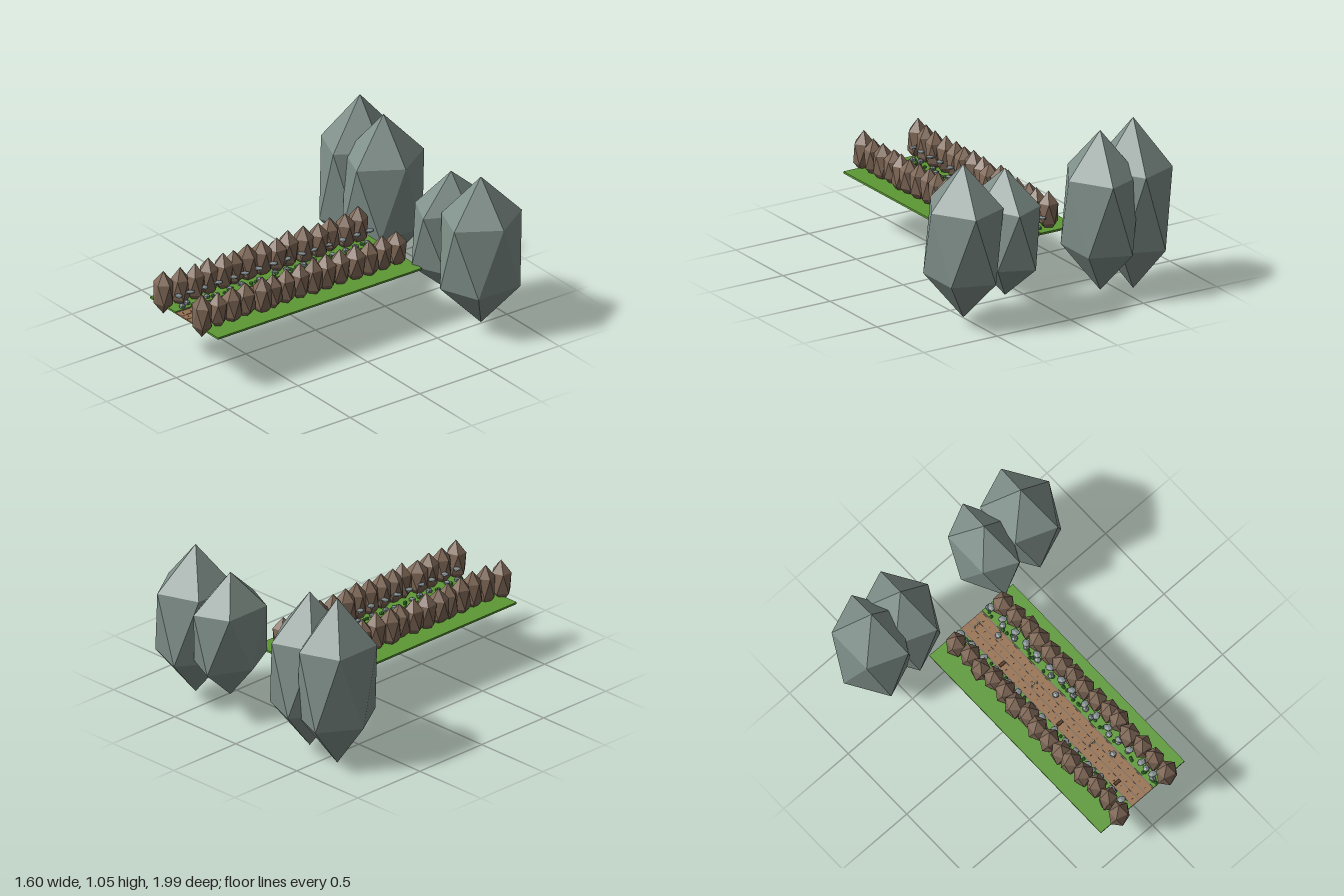
import * as THREE from 'three';

const paint = (name, color) => {
  const m = new THREE.MeshStandardMaterial({ color });
  m.name = name;
  return m;
};

export function createModel() {
  const model = new THREE.Group();
  model.name = 'canyonPath';

  const cliffGrey = paint('cliffGrey', 0x80908a);
  const rockBrown = paint('rockBrown', 0x7f6857);
  const grassGreen = paint('grassGreen', 0x5c9934);
  const dirt = paint('dirt', 0x97714f);
  const stone = paint('stone', 0x7f8a8c);
  const leaf = paint('leaf', 0x3f8a35);
  const darkWood = paint('darkWood', 0x5a3d26);
  const groove = paint('groove', 0x6b6a6c);
  const cream = paint('cream', 0xd8cba8);

  // seeded variation
  let seed = 7;
  const rand = (a, b) => {
    seed = (seed * 16807) % 2147483647;
    return a + (b - a) * (seed / 2147483647);
  };

  // faceted boulder with a vertex straight up and one upper corner on +x
  const boulderGeo = new THREE.IcosahedronGeometry(1, 0);
  boulderGeo.rotateZ(-Math.atan(2 / (1 + Math.sqrt(5))));
  const boxGeo = new THREE.BoxGeometry(1, 1, 1);
  const logGeo = new THREE.CylinderGeometry(1, 1, 1, 8).rotateZ(Math.PI / 2);

  const add = (name, geo, mat, pos, size, yaw = 0, parent = model) => {
    const mesh = new THREE.Mesh(geo, mat);
    mesh.name = name;
    mesh.position.set(...pos);
    mesh.scale.set(...size);
    mesh.rotation.y = yaw;
    parent.add(mesh);
    return mesh;
  };
  const group = (name) => {
    const g = new THREE.Group();
    g.name = name;
    model.add(g);
    return g;
  };

  // ground: two lawns with a dirt path between them
  add('lawnRight', boxGeo, grassGreen, [-0.22, 0.361, 0.2], [0.24, 0.012, 1.465]);
  add('lawnLeft', boxGeo, grassGreen, [0.19, 0.361, 0.2], [0.24, 0.012, 1.465]);
  add('path', boxGeo, dirt, [-0.015, 0.359, 0.2], [0.17, 0.008, 1.465]);

  // four towering cliffs: x, half height, ring radius
  const cliffs = group('cliffs');
  for (const [x, h, r] of [[-0.585, 0.525, 0.215], [-0.36, 0.49, 0.215], [0.29, 0.39, 0.18], [0.575, 0.47, 0.22]]) {
    add('cliff', boulderGeo, cliffGrey, [x, 0.528, -0.757], [r / 0.894, h, 0.285], 0, cliffs);
  }

  // rows of boulders walling the path
  const rowZ = [0.94, 0.83, 0.727, 0.625, 0.518, 0.44, 0.34, 0.238, 0.143, 0.05, -0.05, -0.155, -0.25, -0.35, -0.455];
  const rowX = [
    [-0.205, -0.19, -0.185, -0.195, -0.195, -0.2, -0.2, -0.2, -0.182, -0.2, -0.185, -0.18, -0.2, -0.185, -0.2],
    [0.165, 0.17, 0.17, 0.16, 0.18, 0.175, 0.17, 0.165, 0.17, 0.165, 0.165, 0.17, 0.18, 0.17, 0.165],
  ];
  const rows = group('boulderRows');
  rowX.forEach((xs) => xs.forEach((x, i) => {
    const big = i === 0;
    const r = big ? 0.071 : rand(0.061, 0.07);
    const h = big ? 0.137 : rand(0.115, 0.137);
    add('boulder', boulderGeo, rockBrown, [x, 0.453, rowZ[i]], [r, h, big ? 0.063 : r], big ? 0 : rand(0, 1.2), rows);
  }));

  // stone ledges, edging stones and shrubs beside the path
  const verge = group('verge');
  for (const side of [-1, 1]) {
    const at = (d) => -0.015 + side * d;
    for (let i = 0; i < 15; i++) {
      const z = 0.89 - i * 0.0985;
      add('ledge', boulderGeo, stone, [at(0.119), 0.44, z + rand(-0.01, 0.01)], [0.024, 0.008, 0.03], rand(0, 3), verge);
      add('edgingStone', boulderGeo, stone, [at(rand(0.105, 0.13)), 0.372, z + rand(-0.03, 0.03)],
        [0.022, rand(0.014, 0.02), 0.022], rand(0, 3), verge);
      for (let k = 0; k < 2; k++) {
        add('shrub', boulderGeo, leaf, [at(rand(0.092, 0.118)), 0.371, z + rand(-0.045, 0.045)],
          [0.011, 0.014, 0.011], rand(0, 3), verge);
      }
    }
  }

  // lane grooves and scattered dashes on the path
  const lanes = group('lanes');
  for (const x of [-0.094, -0.04, 0.01, 0.064]) {
    add('laneGroove', boxGeo, groove, [x, 0.3635, 0.2], [0.004, 0.002, 1.465], 0, lanes);
  }
  for (const x of [-0.065, -0.015, 0.035]) {
    for (let i = 0; i < 28; i++) {
      add('dash', boxGeo, darkWood, [x + rand(-0.006, 0.006), 0.3635, 0.9 - i * 0.051], [0.012, 0.002, 0.004], 0, lanes);
    }
  }

  // obstacles repeating down the three lanes
  const obstacles = group('obstacles');
  for (let i = 0; i < 3; i++) {
    const dz = i * 0.49;
    add('log', logGeo, darkWood, [-0.065, 0.373, 0.77 - dz], [0.04, 0.01, 0.01], 0, obstacles);
    add('laneStone', boulderGeo, stone, [0.035, 0.373, 0.625 - dz], [0.022, 0.015, 0.022], 0.4, obstacles);
    const z = 0.5 - dz;
    for (const x of [-0.033, 0.003]) {
      add('gatePost', boxGeo, cream, [x, 0.386, z], [0.005, 0.048, 0.005], 0, obstacles);
    }
    add('gateBeam', boxGeo, cream, [-0.015, 0.407, z], [0.042, 0.008, 0.006], 0, obstacles);
    add('gateVine', boxGeo, leaf, [-0.015, 0.397, z], [0.01, 0.012, 0.004], 0, obstacles);
  }

  return model;
}
